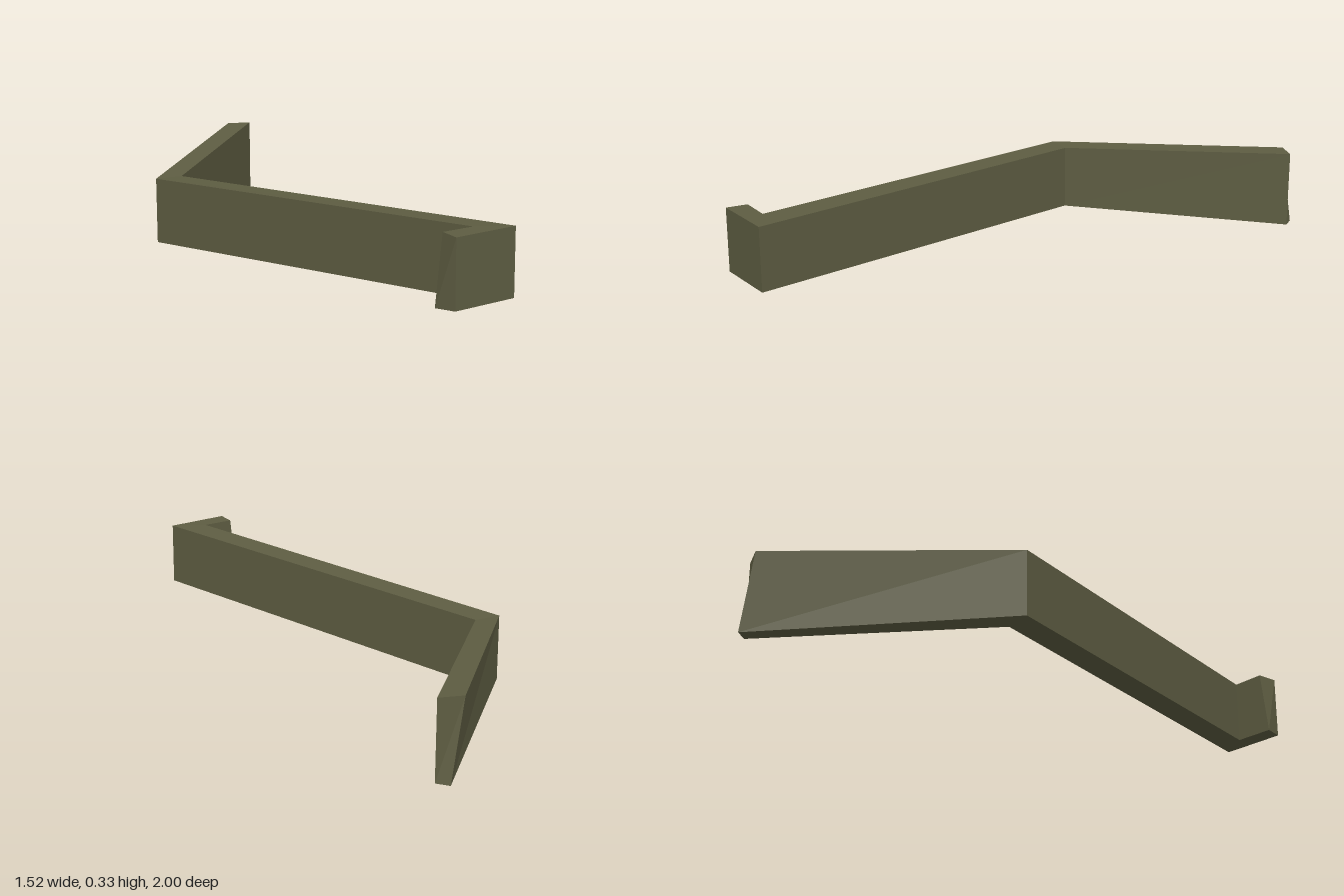
import * as THREE from 'three';

// Cross-sections along the bent wall: four corners as [x, y, z],
// in the order side A top, side B top, side B bottom, side A bottom.
const SECTIONS = [
  [[-0.735, 0.31, -0.95], [-0.645, 0.31, -0.99], [-0.645, 0, -0.99], [-0.7, 0, -1]],
  [[-0.76, 0.262, 0.04], [-0.675, 0.262, -0.03], [-0.675, 0, -0.03], [-0.76, 0, 0.04]],
  [[0.62, 0.33, 0.84], [0.76, 0.33, 0.8], [0.76, 0.075, 0.8], [0.62, 0.073, 0.84]],
  [[0.53, 0.33, 0.935], [0.585, 0.33, 1], [0.585, 0.075, 1], [0.51, 0.07, 0.958]],
];

// One straight run of wall between two cross-sections, with optional end caps
function wallRun(a, b, capStart, capEnd) {
  const points = [];
  const quad = (p, q, r, s) => points.push(...p, ...q, ...r, ...p, ...r, ...s);
  for (let i = 0; i < 4; i++) {
    const j = (i + 1) % 4;
    quad(a[i], b[i], b[j], a[j]);
  }
  if (capStart) quad(a[0], a[1], a[2], a[3]);
  if (capEnd) quad(b[3], b[2], b[1], b[0]);
  const geometry = new THREE.BufferGeometry();
  geometry.setAttribute('position', new THREE.Float32BufferAttribute(points, 3));
  geometry.computeVertexNormals();
  return geometry;
}

export function createModel() {
  const model = new THREE.Group();
  model.name = 'bentWall';
  const olive = new THREE.MeshStandardMaterial({ color: 0x5e5d42, side: THREE.DoubleSide });
  olive.name = 'olive';

  // Back arm, long diagonal and short hooked return
  ['backArm', 'diagonalWall', 'hookReturn'].forEach((name, i) => {
    const mesh = new THREE.Mesh(wallRun(SECTIONS[i], SECTIONS[i + 1], i === 0, i === 2), olive);
    mesh.name = name;
    model.add(mesh);
  });
  return model;
}
